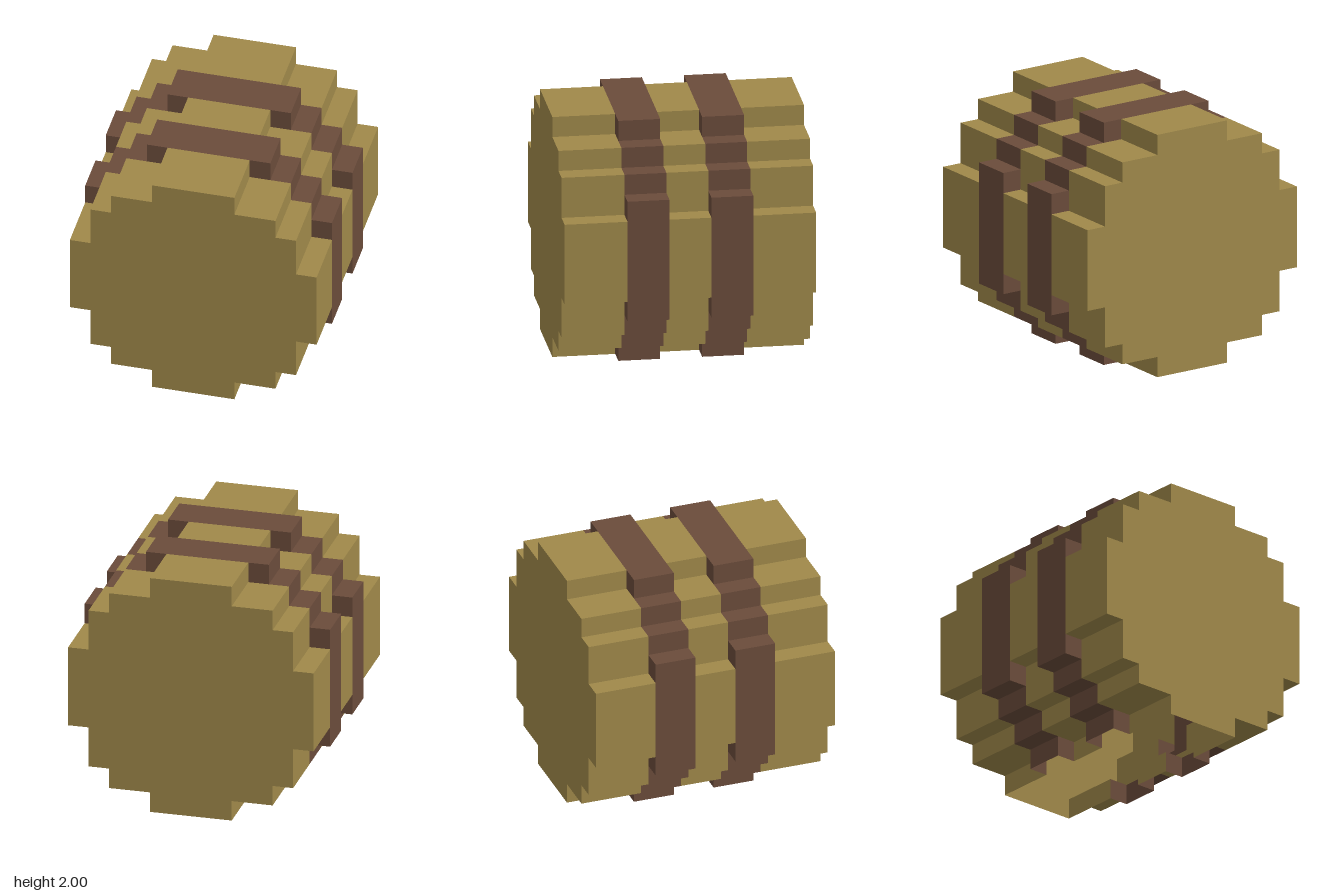
import * as THREE from 'three';
import { mergeGeometries } from 'three/addons/utils/BufferGeometryUtils.js';

const U = 1 / 6; // one block

// Corner steps of the stave body and of the hoops, in blocks, from top to side
const STAVE_CORNER = [[2, 6], [2, 5], [4, 5], [4, 4], [5, 4], [5, 2], [6, 2]];
const HOOP_CORNER = [[3, 6], [3, 5], [4, 5], [4, 4], [5, 4], [5, 3], [6, 3]];

// Mirrors a corner into a counter-clockwise outline, open along the bottom
function outline(corner) {
  const back = [...corner].reverse();
  return [
    ...corner.map(([x, y]) => [x, -y]),
    ...back,
    ...corner.map(([x, y]) => [-x, y]),
    ...back.map(([x, y]) => [-x, -y]),
  ].map(([x, y]) => new THREE.Vector2(x * U, (y + 6) * U));
}

// Flat-sided wall following the outline from z0 to z1
function wall(points, z0, z1) {
  const pos = [];
  for (let i = 0; i < points.length - 1; i++) {
    const a = points[i], b = points[i + 1];
    pos.push(a.x, a.y, z0, b.x, b.y, z0, b.x, b.y, z1);
    pos.push(a.x, a.y, z0, b.x, b.y, z1, a.x, a.y, z1);
  }
  const geo = new THREE.BufferGeometry();
  geo.setAttribute('position', new THREE.Float32BufferAttribute(pos, 3));
  geo.computeVertexNormals();
  return geo;
}

// Small squares closing the ends of the blocks that stand out of a hoop
function hoopEnds(z, facing) {
  const squares = [];
  for (const [x, y] of [[2.5, 5.5], [5.5, 2.5]])
    for (const sx of [-1, 1])
      for (const sy of [-1, 1]) {
        const square = new THREE.PlaneGeometry(U, U);
        if (facing < 0) square.rotateY(Math.PI);
        squares.push(square.translate(sx * x * U, (sy * y + 6) * U, z));
      }
  return mergeGeometries(squares);
}

export function createModel() {
  const wood = new THREE.MeshStandardMaterial({ color: 0xa0894a, side: THREE.DoubleSide });
  wood.name = 'wood';
  const band = new THREE.MeshStandardMaterial({ color: 0x6b4c3b, side: THREE.DoubleSide });
  band.name = 'hoopBrown';

  const model = new THREE.Group();
  model.name = 'barrel';
  const add = (name, geo, material, parent = model) => {
    const mesh = new THREE.Mesh(geo, material);
    mesh.name = name;
    parent.add(mesh);
    return mesh;
  };

  const staveLine = outline(STAVE_CORNER);
  const hoopLine = outline(HOOP_CORNER);

  // Hollow stave sections
  add('frontStaves', wall(staveLine, 3 * U, 1), wood);
  add('middleStaves', wall(staveLine, -U, U), wood);
  add('backStaves', wall(staveLine, -1, -3 * U), wood);

  // Round end lids
  const lid = new THREE.ShapeGeometry(new THREE.Shape(staveLine));
  add('frontLid', lid, wood).position.z = 1;
  const backLid = add('backLid', lid, wood);
  backLid.position.z = -1;
  backLid.rotation.y = Math.PI;

  // Two hoops
  for (const [name, z0] of [['frontHoop', U], ['backHoop', -3 * U]]) {
    const hoop = new THREE.Group();
    hoop.name = name;
    const z1 = z0 + 2 * U;
    add(name + 'Wall', wall(hoopLine, z0, z1), band, hoop);
    add(name + 'FrontEnds', hoopEnds(z1, 1), band, hoop);
    add(name + 'BackEnds', hoopEnds(z0, -1), band, hoop);
    model.add(hoop);
  }
  return model;
}
